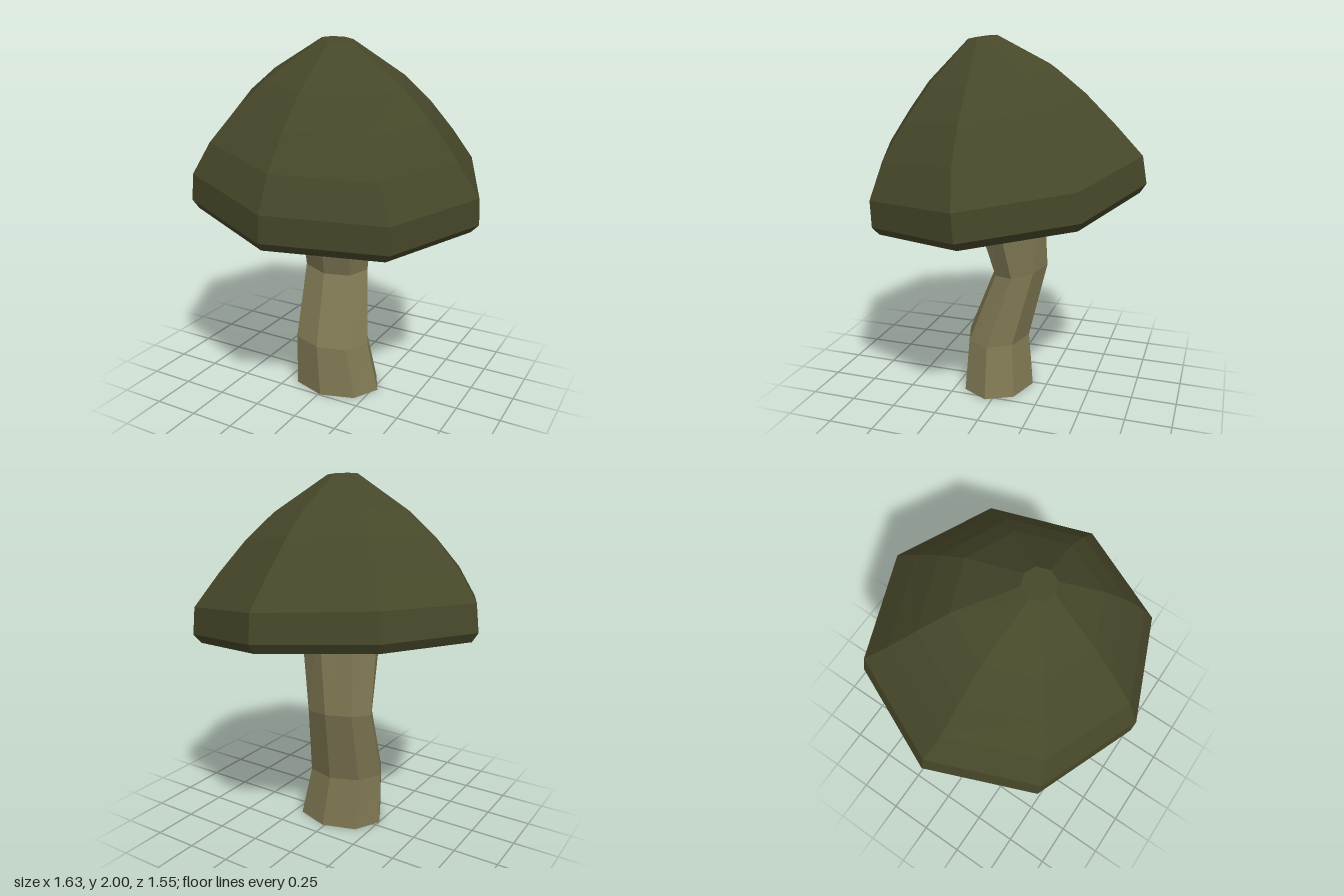
import * as THREE from 'three';

const SIDES = 8;

// Closed faceted skin through tilted oval rings, in order from the bottom end to the top end.
// Each ring: [centre x, y, z, radius x, radius z, slope along x, slope along z]
// skew stretches the rings along one diagonal.
function loft(name, color, skew, rings) {
  const pos = [];
  const index = [];
  for (const [cx, cy, cz, rx, rz, sx, sz] of rings) {
    for (let i = 0; i < SIDES; i++) {
      const a = (i / SIDES) * Math.PI * 2;
      const u = rx * Math.cos(a);
      const v = rz * Math.sin(a);
      const dx = u - skew * v;
      const dz = v - skew * u;
      pos.push(cx + dx, cy + sx * dx + sz * dz, cz + dz);
    }
  }
  const last = (rings.length - 1) * SIDES;
  for (let i = 0; i < SIDES; i++) {
    const j = (i + 1) % SIDES;
    for (let k = 0; k < last; k += SIDES) {
      const a = k + i, b = k + j, c = a + SIDES, d = b + SIDES;
      index.push(a, c, b, b, c, d);
    }
    // end faces
    if (i > 0 && i < SIDES - 1) {
      index.push(0, i, j);
      index.push(last, last + j, last + i);
    }
  }
  const indexed = new THREE.BufferGeometry();
  indexed.setAttribute('position', new THREE.Float32BufferAttribute(pos, 3));
  indexed.setIndex(index);
  const geometry = indexed.toNonIndexed();
  geometry.computeVertexNormals();
  const mesh = new THREE.Mesh(geometry, new THREE.MeshStandardMaterial({ color, flatShading: true }));
  mesh.name = name;
  return mesh;
}

export function createModel() {
  const group = new THREE.Group();
  group.name = 'mushroom';

  // Crooked stem, ending just inside the cap
  group.add(loft('stem', 0x7f7853, 0, [
    [0.013, 0, 0.038, 0.266, 0.207, 0, 0],
    [-0.017, 0.295, 0.048, 0.231, 0.182, -0.04, -0.02],
    [-0.052, 0.705, -0.075, 0.2, 0.156, -0.07, -0.15],
    [0, 1.27, 0.022, 0.237, 0.233, -0.1, -0.11],
  ]));

  // Tilted cap: hollowed underside, bevelled rim, domed sides and a small flat tip
  group.add(loft('cap', 0x47472a, 0.012, [
    [0.01, 1.25, 0.01, 0.1, 0.1, -0.105, -0.11],
    [-0.005, 1.117, 0, 0.775, 0.74, -0.105, -0.11],
    [0, 1.165, 0, 0.813, 0.773, -0.105, -0.11],
    [0.01, 1.31, 0.013, 0.8, 0.762, -0.108, -0.115],
    [0.015, 1.48, 0.05, 0.685, 0.65, -0.104, -0.115],
    [0.02, 1.65, 0.065, 0.54, 0.505, -0.095, -0.12],
    [0.03, 1.793, 0.077, 0.38, 0.363, -0.092, -0.11],
    [0.052, 1.988, 0.113, 0.087, 0.084, -0.1, -0.1],
  ]));

  return group;
}
